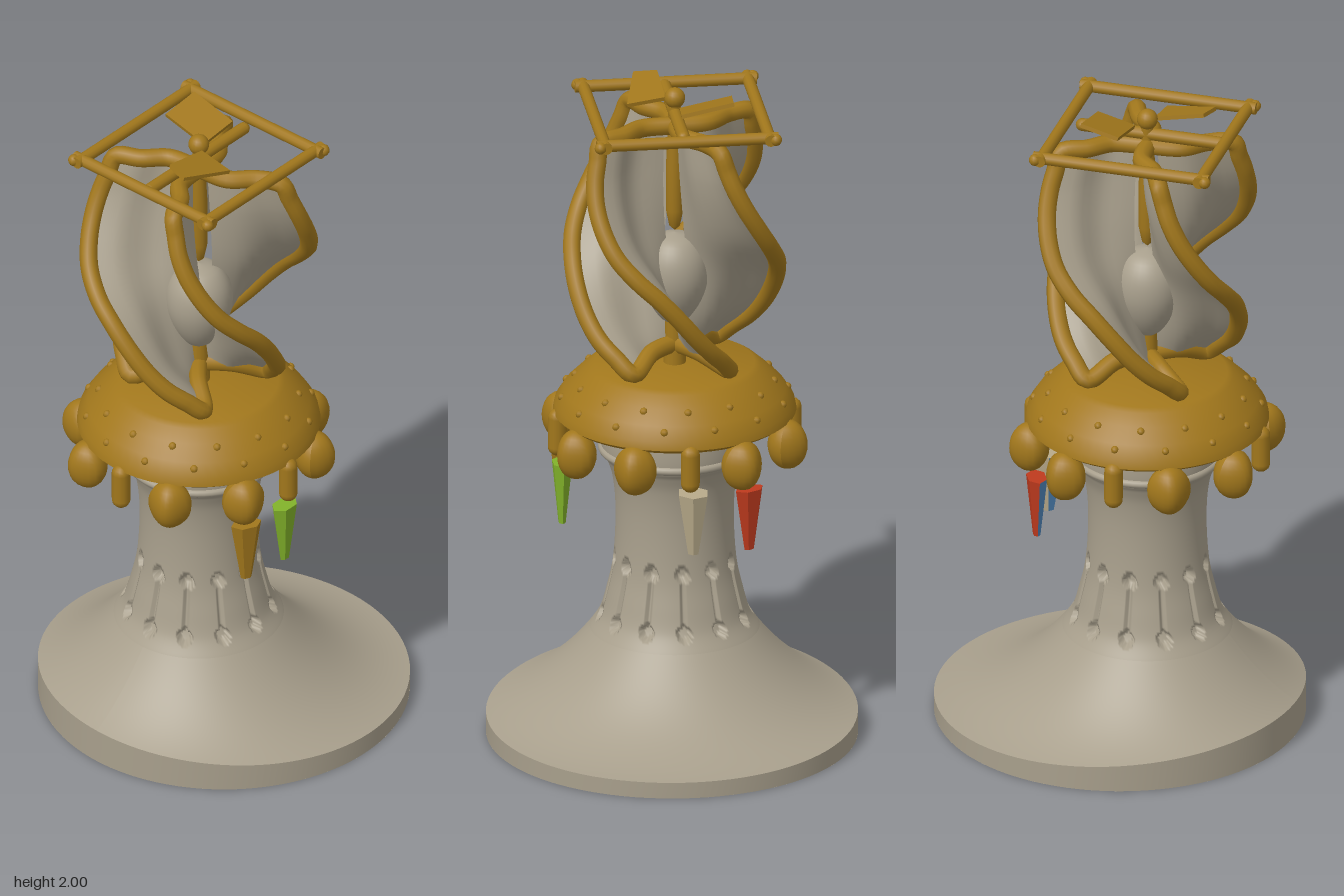
import * as THREE from 'three';
import { toCreasedNormals } from 'three/addons/utils/BufferGeometryUtils.js';

const AXIS = new THREE.Vector3(-0.02, 0, 0.09); // the column stands off the disc centre
const DISC_R = 0.547;
const V2 = (x, y) => new THREE.Vector2(x, y);
const polar = (r, phi, y) => new THREE.Vector3(r * Math.sin(phi), y, r * Math.cos(phi));
const rad = THREE.MathUtils.degToRad;

function makeMaterials() {
  const make = (name, color, side = THREE.FrontSide) => {
    const m = new THREE.MeshStandardMaterial({ color, side });
    m.name = name;
    return m;
  };
  return {
    stone: make('stone', 0xa89f8c, THREE.DoubleSide),
    gold: make('gold', 0xa1771c),
    blue: make('blue', 0x4f86ba),
    green: make('green', 0x82b32a),
    red: make('red', 0xbf3a1e),
    cream: make('cream', 0xb8aa8a),
  };
}

// Surface from a rule f(u, v) -> Vector3 on a regular grid
function gridGeometry(nu, nv, f) {
  const pos = [], idx = [];
  for (let j = 0; j <= nv; j++) {
    for (let i = 0; i <= nu; i++) pos.push(...f(i / nu, j / nv).toArray());
  }
  for (let j = 0; j < nv; j++) {
    for (let i = 0; i < nu; i++) {
      const a = j * (nu + 1) + i, b = a + 1, c = a + nu + 1, d = c + 1;
      idx.push(a, c, b, b, c, d);
    }
  }
  const g = new THREE.BufferGeometry();
  g.setAttribute('position', new THREE.Float32BufferAttribute(pos, 3));
  g.setIndex(idx);
  g.computeVertexNormals();
  return g;
}

// Column with twelve carved dumbbell grooves
function columnGeometry() {
  const profile = new THREE.SplineCurve([
    V2(0.25, 0.3), V2(0.22, 0.35), V2(0.2, 0.42), V2(0.183, 0.5), V2(0.175, 0.6),
    V2(0.175, 0.7), V2(0.184, 0.78), V2(0.2, 0.83), V2(0.215, 0.86), V2(0.218, 0.92), V2(0.212, 1.0),
  ]).getPoints(100);
  const g = new THREE.LatheGeometry(profile, 288, Math.PI / 12);
  const p = g.attributes.position, step = Math.PI / 6;
  for (let i = 0; i < p.count; i++) {
    const x = p.getX(i), y = p.getY(i), z = p.getZ(i);
    const r = Math.hypot(x, z), phi = Math.atan2(x, z);
    const s = r * Math.abs(phi - Math.round(phi / step) * step);
    const hole = Math.min(Math.hypot(s, y - 0.522), Math.hypot(s, y - 0.35));
    let depth = 0;
    if (hole < 0.02) depth = 0.024;
    else if (s < 0.006 && y > 0.35 && y < 0.522) depth = 0.011;
    const k = (r - depth) / r;
    p.setXYZ(i, x * k, y, z * k);
  }
  g.computeVertexNormals();
  return g;
}

// Rounded knob that narrows outward (+z)
function knobGeometry() {
  const g = new THREE.SphereGeometry(0.065, 20, 14).scale(1, 1.15, 0.92);
  const p = g.attributes.position;
  for (let i = 0; i < p.count; i++) p.setX(i, p.getX(i) * (1 - 6 * Math.max(0, p.getZ(i))));
  g.computeVertexNormals();
  return g;
}

export function createModel() {
  const mat = makeMaterials();
  const model = new THREE.Group();
  model.name = 'ornateWindTurbine';
  const tower = new THREE.Group();
  tower.name = 'tower';
  tower.position.copy(AXIS);
  model.add(tower);
  const add = (name, geo, material, pos, parent = tower) => {
    const m = new THREE.Mesh(geo, material);
    m.name = name;
    if (pos) m.position.copy(pos);
    parent.add(m);
    return m;
  };
  const at = (x, y, z) => new THREE.Vector3(x, y, z);

  // Flared foot: swept around the column axis, cut off by the round disc
  const reach = (phi) => {
    const dx = Math.sin(phi), dz = Math.cos(phi);
    const b = AXIS.x * dx + AXIS.z * dz;
    return -b + Math.sqrt(b * b + DISC_R ** 2 - AXIS.x ** 2 - AXIS.z ** 2);
  };
  const height = (r) => 0.044 + 0.256 * Math.pow((0.75 - r) / 0.5, 2.6);
  add('flaredFoot', gridGeometry(96, 28, (u, v) => {
    const phi = u * 2 * Math.PI;
    const r = THREE.MathUtils.lerp(0.25, reach(phi), v);
    return polar(r, phi, height(r));
  }), mat.stone);
  add('footRim', gridGeometry(96, 1, (u, v) => {
    const phi = u * 2 * Math.PI, r = reach(phi);
    return polar(r, phi, height(r) * (1 - v));
  }), mat.stone);
  add('footBottom', new THREE.CircleGeometry(DISC_R, 96).rotateX(Math.PI / 2), mat.stone, at(0, 0, 0), model);

  add('column', columnGeometry(), mat.stone);
  add('columnLip', new THREE.TorusGeometry(0.213, 0.013, 10, 64).rotateX(Math.PI / 2), mat.stone, at(0, 0.865, 0));

  // Golden crown with half-sunk studs
  const crown = [[0.19, 0.985], [0.34, 0.972], [0.358, 0.985], [0.353, 1.01], [0.327, 1.05],
    [0.287, 1.09], [0.253, 1.12], [0.235, 1.13], [0, 1.13]].map(([r, y]) => V2(r, y));
  add('crown', toCreasedNormals(new THREE.LatheGeometry(crown, 64), 0.6), mat.gold);
  const stud = new THREE.SphereGeometry(0.012, 8, 6);
  for (let i = 0; i < 28; i++) {
    const low = i % 2;
    add('crownStud', stud, mat.gold, polar(low ? 0.334 : 0.293, (i / 28) * 2 * Math.PI, low ? 1.034 : 1.08));
  }

  // Hanging knobs in pairs, with a peg between each two pairs
  const knob = knobGeometry();
  const peg = new THREE.CapsuleGeometry(0.028, 0.09, 5, 12);
  for (let q = 0; q < 4; q++) {
    for (const s of [-1, 1]) {
      const phi = q * Math.PI / 2 + s * rad(27);
      add('crownKnob', knob, mat.gold, polar(0.353, phi, 0.915)).rotation.y = phi;
    }
    add('crownPeg', peg, mat.gold, polar(0.348, q * Math.PI / 2, 0.925));
  }

  // Faceted drops: outer and inner half can differ in colour
  const half = (start, flat) => {
    const g = new THREE.CylinderGeometry(0.048, 0.017, 0.19, 3, 1, false, start, Math.PI).scale(1, 1, flat).toNonIndexed();
    g.computeVertexNormals();
    return g;
  };
  const drops = [
    [0.315, 0.15, 64, 'gold', 'gold', 0.65],
    [0.334, 0, 90, 'green', 'green', 0.65],
    [-0.183, -0.285, 208, 'red', 'blue', 0.65],
    [-0.015, -0.3, 200, 'cream', 'blue', 1.1],
  ];
  for (const [x, z, facing, outer, inner, flat] of drops) {
    const drop = new THREE.Group();
    drop.name = 'hangingDrop';
    drop.position.set(x, 0.735, z);
    drop.rotation.y = rad(facing);
    add('dropOuterHalf', half(-Math.PI / 2, flat), mat[outer], null, drop);
    add('dropInnerHalf', half(Math.PI / 2, flat), [mat[inner], mat[outer], mat[outer]], null, drop);
    tower.add(drop);
  }

  // Four twisted ribs, each with a sail reaching in to the axis
  const twist = new THREE.CatmullRomCurve3([
    [0.2, 45, 1.15], [0.256, 14, 1.26], [0.3, -13, 1.42], [0.326, -41, 1.575], [0.3, -59, 1.74], [0.255, -66, 1.87],
  ].map(([r, deg, y]) => at(r, rad(deg), y)));
  const bend = (t) => -0.3 * THREE.MathUtils.smoothstep(1 - t, 0.25, 0.65);
  for (let q = 0; q < 4; q++) {
    const turn = q * Math.PI / 2;
    const pts = [at(0, 1.19, 0), polar(0.1, turn + rad(40), 1.185)];
    for (let i = 0; i <= 12; i++) {
      const p = twist.getPoint(i / 12);
      pts.push(polar(p.x, turn + p.y, p.z));
    }
    for (const t of [0.7, 0.4, 0]) pts.push(polar(0.255 * t, turn + rad(-66) + bend(t), 1.875));
    add('rib', new THREE.TubeGeometry(new THREE.CatmullRomCurve3(pts), 110, 0.027, 10), mat.gold);
    add('sail', gridGeometry(12, 30, (u, v) => {
      const p = twist.getPoint(v), t = THREE.MathUtils.lerp(0.12, 1, u);
      return polar(p.x * t, turn + p.y + bend(t), p.z + (1 - t) * 0.03 * (1 - v));
    }), mat.stone);
  }

  // Axis: lower stem, stone bulb and hanging pendulum
  add('stem', new THREE.CylinderGeometry(0.028, 0.034, 0.18, 16), mat.gold, at(0, 1.2, 0));
  const bulb = [[0, 1.25], [0.04, 1.27], [0.08, 1.33], [0.1, 1.4], [0.093, 1.47], [0.058, 1.522], [0, 1.54]];
  add('bulb', new THREE.LatheGeometry(new THREE.SplineCurve(bulb.map(([r, y]) => V2(r, y))).getPoints(24), 32), mat.stone);
  const pendulum = [[0, 1.545], [0.016, 1.56], [0.026, 1.61], [0.026, 1.75], [0.02, 1.87], [0.018, 1.96]];
  add('pendulum', new THREE.LatheGeometry(pendulum.map(([r, y]) => V2(r, y)), 16), mat.gold);
  add('hub', new THREE.SphereGeometry(0.031, 16, 12), mat.gold, at(0, 1.962, 0));

  // Square top frame with corner knobs and a cross bar
  const F = 0.244;
  const frame = new THREE.Group();
  frame.name = 'topFrame';
  frame.position.set(-0.005, 1.918, -0.006);
  tower.add(frame);
  const bar = new THREE.CylinderGeometry(0.018, 0.018, F * 2 + 0.05, 12);
  const corner = new THREE.SphereGeometry(0.018, 10, 8);
  for (const s of [-1, 1]) {
    add('frameBarX', bar, mat.gold, at(0, 0, s * F), frame).rotation.z = Math.PI / 2;
    add('frameBarZ', bar, mat.gold, at(s * F, 0, 0), frame).rotation.x = Math.PI / 2;
    for (const w of [-1, 1]) add('frameCorner', corner, mat.gold, at(s * 0.26, 0, w * 0.26), frame);
  }
  add('crossBar', new THREE.CapsuleGeometry(0.019, 0.42, 4, 12).rotateX(Math.PI / 2), mat.gold, at(0, 1.915, 0.01));

  // Two tilted vanes on the hub
  const vane1 = add('vane', new THREE.BoxGeometry(0.158, 0.012, 0.12), mat.gold, at(-0.083, 1.965, -0.097));
  vane1.rotation.set(0.2, -0.08, -0.2);
  const shape = new THREE.Shape([V2(-0.04, -0.085), V2(0.075, -0.085), V2(0.035, 0.08), V2(-0.035, 0.065)]);
  const vaneGeo = new THREE.ExtrudeGeometry(shape, { depth: 0.012, bevelEnabled: false }).rotateX(Math.PI / 2);
  const vane2 = add('vane', vaneGeo, mat.gold, at(0.065, 1.97, 0.1));
  vane2.rotation.set(-0.2, 0, -0.16);

  return model;
}
